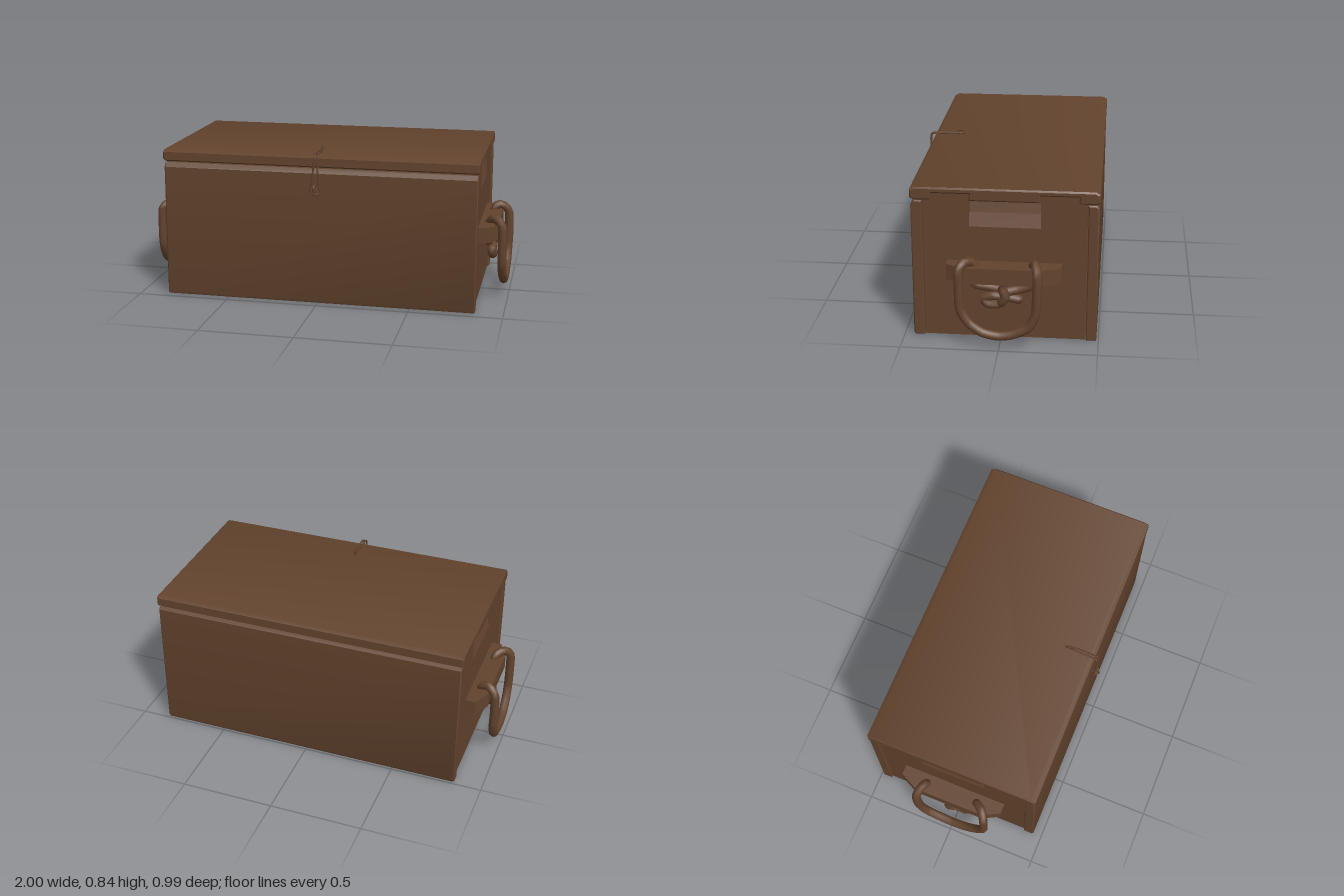
import * as THREE from 'three';
import { toCreasedNormals } from 'three/addons/utils/BufferGeometryUtils.js';

const wood = new THREE.MeshStandardMaterial({ color: 0x62432d });
wood.name = 'brown wood';

function add(parent, name, geometry) {
  const mesh = new THREE.Mesh(geometry, wood);
  mesh.name = name;
  parent.add(mesh);
  return mesh;
}

// Extrudes an outline of [a, b] points from 0 to depth, with an optional bevel kept inside the depth
function extrude(points, depth, bevel = 0) {
  const shape = new THREE.Shape(points.map(([a, b]) => new THREE.Vector2(a, b)));
  const g = new THREE.ExtrudeGeometry(shape, {
    depth: depth - 2 * bevel, bevelEnabled: bevel > 0, bevelSize: bevel,
    bevelOffset: -bevel, bevelThickness: bevel, bevelSegments: 1, steps: 1,
  });
  return g.translate(0, 0, bevel);
}

// Outline of [z, y] points running along x, from x0 to x1
function prismX(points, x0, x1, bevel) {
  const g = extrude(points.map(([z, y]) => [-z, y]), x1 - x0, bevel);
  return toCreasedNormals(g.rotateY(Math.PI / 2).translate(x0, 0, 0), 0.6);
}

// Outline of [x, y] points running along z, from z0 to z1
function prismZ(points, z0, z1) {
  return extrude(points, z1 - z0).translate(0, 0, z0);
}

function box(x0, x1, y0, y1, z0, z1) {
  return new THREE.BoxGeometry(x1 - x0, y1 - y0, z1 - z0)
    .translate((x0 + x1) / 2, (y0 + y1) / 2, (z0 + z1) / 2);
}

// Rope or wire through [x, y, z] points; s mirrors it in x
function cord(points, radius, s = 1, segments = 32, sides = 8, closed = false) {
  const path = points.map(([x, y, z]) => new THREE.Vector3(s * x, y, z));
  const curve = new THREE.CatmullRomCurve3(path, closed, 'catmullrom', 0.35);
  return new THREE.TubeGeometry(curve, segments, radius, sides, closed);
}

function createEnd(s) {
  const end = new THREE.Group();
  end.name = s > 0 ? 'leftEnd' : 'rightEnd';
  const IN = 0.78, OUT = 0.838;
  const slab = (name, y0, y1, z0, z1) =>
    add(end, name, box(Math.min(s * IN, s * OUT), Math.max(s * IN, s * OUT), y0, y1, z0, z1));

  // End board, with two upright tabs that reach into the lid
  slab('endBoard', 0.005, 0.61, -0.431, 0.391);
  slab('frontCorner', 0.61, 0.745, 0.345, 0.391);
  slab('backCorner', 0.61, 0.745, -0.431, -0.388);
  slab('frontTab', 0.61, 0.783, 0.16, 0.345);
  slab('backTab', 0.61, 0.783, -0.388, -0.2);

  // Hollowed board between the tabs
  add(end, 'hollow', prismZ([[s * IN, 0.61], [s * OUT, 0.61], [s * 0.815, 0.68],
    [s * 0.8, 0.748], [s * IN, 0.748]], -0.2, 0.16));

  // Handle bar with slanted ends
  const bar = extrude([[s * 0.83, 0.31], [s * 0.892, 0.31], [s * 0.94, 0.21],
    [s * 0.94, -0.18], [s * 0.892, -0.272], [s * 0.83, -0.272]], 0.085);
  add(end, 'handleBar', bar.rotateX(-Math.PI / 2).translate(0, 0.34, 0));

  // Rope loop over the bar
  const R = 0.024;
  add(end, 'ropeLoop', cord([
    [0.89, 0.40, 0.125], [0.89, 0.436, 0.135], [0.925, 0.452, 0.175],
    [0.962, 0.42, 0.2], [0.966, 0.30, 0.2], [0.966, 0.21, 0.195],
    [0.968, 0.14, 0.155], [0.97, 0.09, 0.085], [0.97, 0.072, 0.0],
    [0.97, 0.085, -0.075], [0.972, 0.125, -0.15], [0.974, 0.2, -0.185],
    [0.976, 0.30, -0.192], [0.97, 0.41, -0.194], [0.93, 0.452, -0.18],
    [0.89, 0.436, -0.168], [0.89, 0.40, -0.165],
  ], R, s, 48));

  // Knot below the bar
  add(end, 'knotStrandFront', cord([
    [0.89, 0.36, 0.15], [0.885, 0.318, 0.125], [0.885, 0.305, 0.05],
    [0.895, 0.29, -0.02], [0.9, 0.255, -0.03], [0.905, 0.222, 0.01],
    [0.905, 0.222, 0.06], [0.9, 0.25, 0.082], [0.905, 0.268, 0.03],
    [0.89, 0.258, -0.03], [0.88, 0.24, -0.095],
  ], R, s, 40));
  add(end, 'knotStrandBack', cord([
    [0.89, 0.36, -0.165], [0.885, 0.318, -0.155], [0.885, 0.295, -0.09],
    [0.9, 0.285, -0.02], [0.92, 0.31, -0.015], [0.925, 0.27, -0.028],
    [0.915, 0.235, -0.01], [0.88, 0.225, 0.01],
  ], R, s, 32));
  add(end, 'ropeTail', new THREE.SphereGeometry(R, 8, 6).translate(s * 0.88, 0.24, -0.095));
  return end;
}

function createLatch() {
  const latch = new THREE.Group();
  latch.name = 'latch';
  // Wire hasp folding over the lid and down the front
  add(latch, 'haspWire', cord([
    [0.0, 0.83, 0.29], [0.008, 0.828, 0.36], [0.006, 0.825, 0.462], [0.004, 0.80, 0.477],
    [0.01, 0.70, 0.474], [0.018, 0.62, 0.468], [-0.01, 0.612, 0.472], [-0.036, 0.62, 0.468],
    [-0.022, 0.70, 0.474], [-0.01, 0.80, 0.477], [-0.01, 0.825, 0.462], [-0.008, 0.828, 0.36],
  ], 0.005, 1, 72, 5, true));
  // Staples on the lid and on the front board
  add(latch, 'lidStaple', cord([
    [-0.004, 0.81, 0.3], [-0.004, 0.841, 0.292], [-0.004, 0.841, 0.323], [-0.004, 0.81, 0.316],
  ], 0.004, 1, 16, 5));
  add(latch, 'frontStaple', cord([
    [-0.01, 0.66, 0.445], [-0.01, 0.66, 0.49], [-0.01, 0.627, 0.49], [-0.01, 0.627, 0.445],
  ], 0.005, 1, 16, 5));
  add(latch, 'pin', box(-0.03, 0.012, 0.638, 0.648, 0.478, 0.49));
  return latch;
}

export function createModel() {
  const chest = new THREE.Group();
  chest.name = 'chest';

  // Front and back boards with chamfered outer edges
  add(chest, 'frontBoard', prismX([[0.395, 0.003], [0.447, 0.003], [0.452, 0.015],
    [0.452, 0.72], [0.435, 0.744], [0.395, 0.744]], -0.85, 0.85, 0.006));
  add(chest, 'backBoard', prismX([[-0.435, 0.003], [-0.485, 0.003], [-0.49, 0.015],
    [-0.49, 0.73], [-0.475, 0.744], [-0.435, 0.744]], -0.85, 0.85, 0.006));

  // Floor
  add(chest, 'floor', box(-0.8, 0.8, 0.02, 0.05, -0.436, 0.396));

  // Lid, notched underneath for the end tabs
  add(chest, 'lid', prismX([
    [0.43, 0.816], [0.455, 0.803], [0.455, 0.76], [0.435, 0.75],
    [0.347, 0.75], [0.347, 0.786], [0.158, 0.786], [0.158, 0.75],
    [-0.198, 0.75], [-0.198, 0.786], [-0.39, 0.786], [-0.39, 0.75],
    [-0.48, 0.75], [-0.493, 0.76], [-0.493, 0.803], [-0.47, 0.816],
  ], -0.856, 0.856, 0.008));

  chest.add(createEnd(1), createEnd(-1), createLatch());
  return chest;
}
